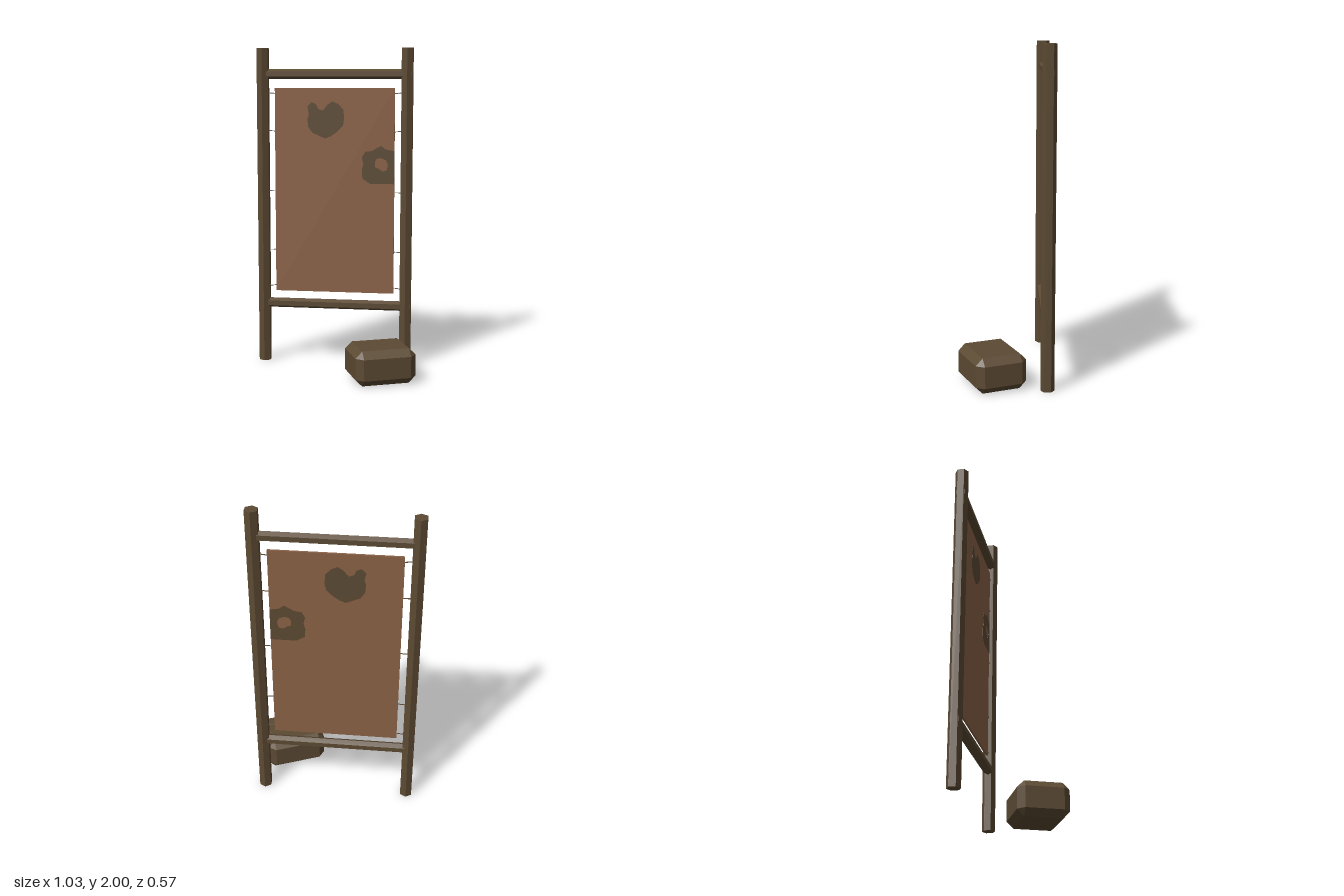
import * as THREE from 'three';
import { ConvexGeometry } from 'three/addons/geometries/ConvexGeometry.js';

const MID_X = -0.0275, FRAME_Z = -0.245, CLOTH_DEPTH = 0.012;

function material(name, color) {
  const m = new THREE.MeshStandardMaterial({ color });
  m.name = name;
  return m;
}

// Box with every edge cut by a single flat bevel
function beveledBox(w, h, d, c) {
  const points = [];
  for (const x of [-1, 1]) for (const y of [-1, 1]) for (const z of [-1, 1]) {
    for (const [a, b, e] of [[0, c, c], [c, 0, c], [c, c, 0]]) {
      points.push(new THREE.Vector3(x * (w / 2 - a), y * (h / 2 - b), z * (d / 2 - e)));
    }
  }
  return new ConvexGeometry(points);
}

const outline = (pts) => pts.map(([x, y]) => new THREE.Vector2(x, y));

export function createModel() {
  const model = new THREE.Group();
  model.name = 'hideSignAndStone';
  const wood = material('dark wood', 0x5c4a33);
  const hide = material('tanned hide', 0x8b6246);
  wood.flatShading = true;

  const add = (name, geometry, mat, x = 0, y = 0, z = 0) => {
    const mesh = new THREE.Mesh(geometry, mat);
    mesh.name = name;
    mesh.position.set(x, y, z);
    model.add(mesh);
    return mesh;
  };

  // Six-sided posts
  for (const s of [-1, 1]) {
    add(s > 0 ? 'leftPost' : 'rightPost', new THREE.CylinderGeometry(0.041, 0.041, 2, 6),
      wood, MID_X + s * 0.4535, 1, FRAME_Z);
  }

  // Six-sided cross rails, ridge upwards, let into the posts
  for (const [name, y] of [['topRail', 1.84], ['bottomRail', 0.38]]) {
    const rail = new THREE.CylinderGeometry(0.031, 0.031, 0.965, 6);
    rail.rotateX(Math.PI / 2).rotateY(Math.PI / 2);
    // turn so that a ridge, not a flat, points up
    rail.computeBoundingBox();
    const size = rail.boundingBox.getSize(new THREE.Vector3());
    if (size.y < size.z) rail.rotateX(Math.PI / 2);
    add(name, rail, wood, MID_X, y, FRAME_Z);
  }

  // Stretched hide
  add('hide', new THREE.BoxGeometry(0.755, 1.295, CLOTH_DEPTH), hide, MID_X, 1.1075, FRAME_Z);

  // Lacing between hide and posts
  for (const [y, slope] of [[1.72, 0.006], [1.485, 0.003], [1.105, 0], [0.728, -0.003], [0.496, -0.006]]) {
    for (const s of [-1, 1]) {
      const path = new THREE.LineCurve3(
        new THREE.Vector3(MID_X + s * 0.37, y, FRAME_Z),
        new THREE.Vector3(MID_X + s * 0.43, y + slope, FRAME_Z));
      add('lace', new THREE.TubeGeometry(path, 1, 0.003, 5), wood);
    }
  }

  // Dark patches, on both faces of the hide
  const upper = new THREE.Shape(outline([
    [-0.198, 1.64], [-0.172, 1.667], [-0.145, 1.656], [-0.13, 1.625], [-0.1, 1.614], [-0.072, 1.651],
    [-0.04, 1.672], [-0.003, 1.656], [0.029, 1.62], [0.034, 1.56], [0.024, 1.518], [-0.013, 1.481],
    [-0.05, 1.455], [-0.087, 1.441], [-0.13, 1.46], [-0.167, 1.476], [-0.193, 1.513], [-0.198, 1.56],
    [-0.188, 1.593]]));
  const side = new THREE.Shape(outline([
    [0.209, 1.365], [0.235, 1.381], [0.267, 1.397], [0.294, 1.376], [0.35, 1.365], [0.35, 1.159],
    [0.262, 1.159], [0.2, 1.159], [0.15, 1.19], [0.146, 1.243], [0.156, 1.28], [0.146, 1.323],
    [0.167, 1.36]]));
  side.holes.push(new THREE.Path(outline([
    [0.228, 1.295], [0.23, 1.262], [0.252, 1.255], [0.275, 1.238], [0.302, 1.245], [0.31, 1.28],
    [0.298, 1.308], [0.265, 1.322], [0.238, 1.315]])));
  for (const [name, shape] of [['upperPatch', upper], ['sidePatch', side]]) {
    const plate = new THREE.ExtrudeGeometry(shape, { depth: 0.002, bevelEnabled: false });
    add(name + 'Front', plate, wood, 0, 0, FRAME_Z + CLOTH_DEPTH / 2);
    add(name + 'Back', plate, wood, 0, 0, FRAME_Z - CLOTH_DEPTH / 2 - 0.002);
  }

  // Bevelled block lying in front of the frame
  const block = add('block', beveledBox(0.376, 0.214, 0.317, 0.042), wood, 0.297, 0.107, 0.08);
  block.rotation.y = Math.PI / 8;

  return model;
}
